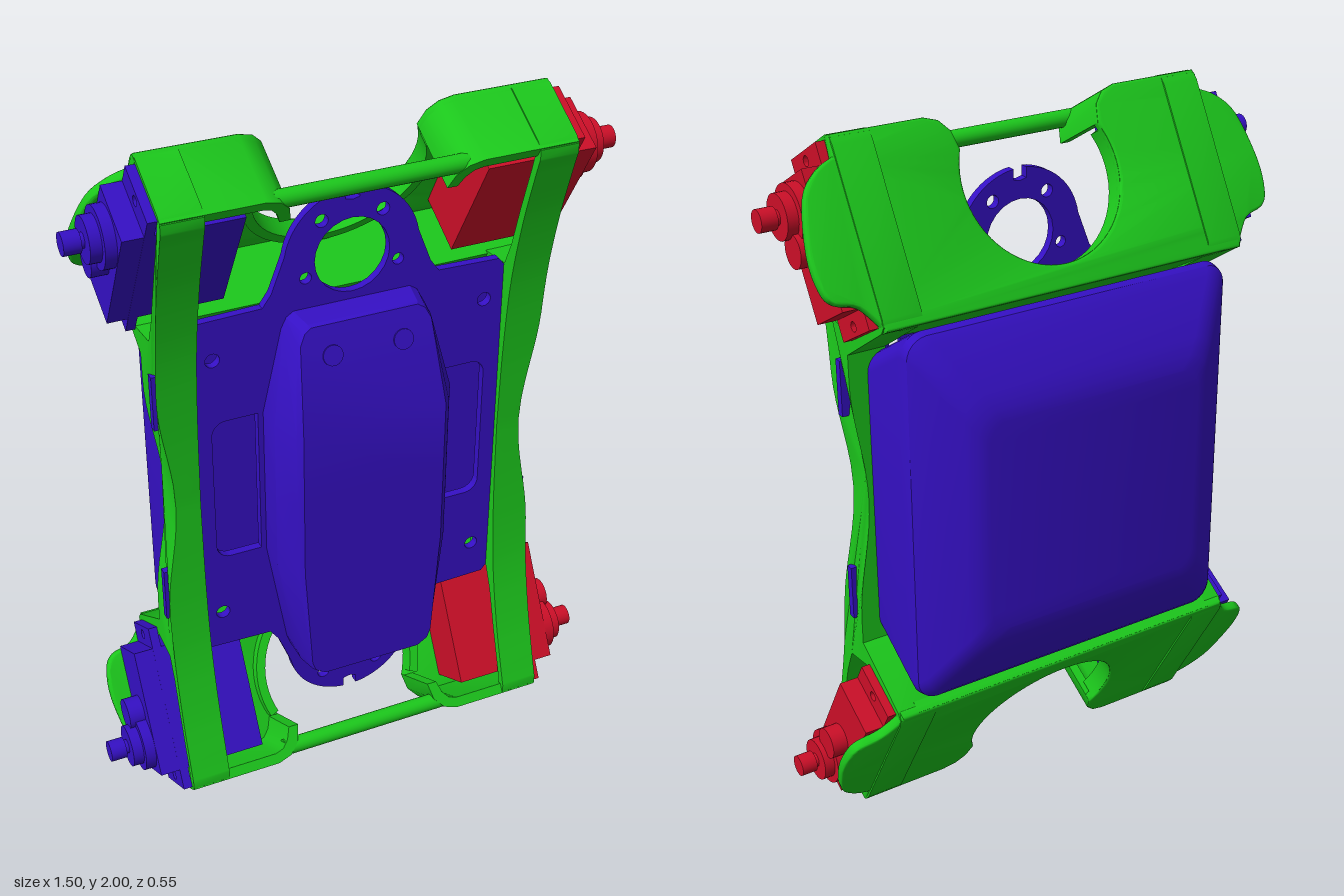
import * as THREE from 'three';
import { toCreasedNormals } from 'three/addons/utils/BufferGeometryUtils.js';

const paint = (color) => new THREE.MeshStandardMaterial({ color, side: THREE.DoubleSide });
const GREEN = paint(0x1cc81c), BLUE = paint(0x3510c4), RED = paint(0xcc0f28);
const V2 = (p) => new THREE.Vector2(p[0], p[1]);

function add(parent, name, geometry, material, x = 0, y = 0, z = 0) {
  const mesh = new THREE.Mesh(geometry, material);
  mesh.name = name;
  mesh.position.set(x, y, z);
  parent.add(mesh);
  return mesh;
}

const mirrorX = (half) => [...half, ...half.map(([x, y]) => [-x, y]).reverse()];
const spline = (pts, n) => new THREE.SplineCurve(pts.map(V2)).getPoints(n).map((p) => [p.x, p.y]);

function arc(cx, cy, r, from, to, n) {
  return Array.from({ length: n + 1 }, (_, i) => {
    const a = THREE.MathUtils.degToRad(from + ((to - from) * i) / n);
    return [cx + r * Math.cos(a), cy + r * Math.sin(a)];
  });
}

// Extruded outline from z0 to z1, with optional holes
function slab(outline, z0, z1, holes = [], bevel = 0) {
  const shape = new THREE.Shape(outline.map(V2));
  shape.holes = holes.map((h) => new THREE.Path(h.map(V2)));
  const geo = new THREE.ExtrudeGeometry(shape, {
    depth: z1 - z0 - 2 * bevel, bevelEnabled: bevel > 0, bevelSize: bevel,
    bevelThickness: bevel, bevelOffset: -bevel, bevelSegments: 3,
  });
  geo.translate(0, 0, z0 + bevel);
  return toCreasedNormals(geo, 0.6);
}

// Closed skin through left-right symmetric rings, going towards +z
function loft(rings) {
  const n = rings[0].length, pos = rings.flat(2), idx = [];
  const quad = (a, b, c, d) => idx.push(a, b, c, a, c, d);
  for (let s = 0; s < rings.length - 1; s++)
    for (let i = 0; i < n; i++) {
      const j = (i + 1) % n, a = s * n, b = a + n;
      quad(a + i, a + j, b + j, b + i);
    }
  const last = (rings.length - 1) * n;
  for (let i = 0; i < n / 2 - 1; i++) {
    quad(n - 1 - i, n - 2 - i, i + 1, i);
    quad(last + i, last + i + 1, last + n - 2 - i, last + n - 1 - i);
  }
  const geo = new THREE.BufferGeometry();
  geo.setAttribute('position', new THREE.Float32BufferAttribute(pos, 3));
  geo.setIndex(idx);
  return toCreasedNormals(geo, 0.5);
}

// Side rail: profile in z and y, waisted on its outer face
function railGeometry(side) {
  const half = [
    ...spline([[0.137, 0], [0.145, 0.25], [0.165, 0.47], [0.205, 0.66], [0.25, 0.81], [0.27, 0.87]], 28),
    [0.27, 0.895], [0.255, 0.912], [0.11, 0.997], [0.085, 0.996], [0.07, 0.98],
    [-0.148, 0.6], [-0.152, 0.58], [-0.14, 0.56], [0.05, 0.435],
  ];
  for (let y = 0.4; y > -0.01; y -= 0.04) half.push([0.05, Math.max(y, 0)]);
  const lower = half.slice(1, -1).map(([z, y]) => [z, -y]).reverse();
  const outline = [...half, ...lower].map(([z, y]) => [z, y + 1]);
  const bay = [[0.246, 0.879], [0.095, 0.966], [-0.127, 0.583], [0.02, 0.498], [0.125, 0.51],
    [0.155, 0.58], [0.19, 0.7], [0.232, 0.83]];
  const holes = [1, -1].map((s) => bay.map(([z, y]) => [z, 1 + s * y]));
  const geo = slab(outline, 0, 0.11, holes);
  geo.rotateY(-Math.PI / 2);
  geo.translate(side > 0 ? 0.555 : -0.445, 0, 0);
  const p = geo.attributes.position;
  for (let i = 0; i < p.count; i++) {
    const d = Math.min(Math.abs(p.getY(i) - 1) / 0.36, 1);
    if (Math.abs(p.getX(i)) > 0.5) p.setX(i, p.getX(i) - side * 0.02 * (1 + Math.cos(Math.PI * d)));
  }
  return toCreasedNormals(geo, 0.6);
}

// Servo with its shaft along +x
function servo(material) {
  const g = new THREE.Group();
  g.name = 'servo';
  const disc = (name, r, x0, x1, y) =>
    add(g, name, new THREE.CylinderGeometry(r, r, x1 - x0, 32), material, (x0 + x1) / 2, y, 0).rotation.z = Math.PI / 2;
  add(g, 'servoBody', new THREE.BoxGeometry(0.31, 0.36, 0.165), material, 0.48, 0, 0);
  const w = 0.083, h = 0.238;
  const flange = slab([[-w, -h], [w, -h], [w, h], [-w, h]], 0.555, 0.58,
    [arc(0, 0.212, 0.014, 0, 330, 11), arc(0, -0.212, 0.014, 0, 330, 11)]);
  flange.rotateY(Math.PI / 2);
  add(g, 'servoFlange', flange, material);
  disc('gearBoss', 0.08, 0.63, 0.665, 0.09);
  disc('gearBossStep', 0.06, 0.66, 0.695, 0.09);
  disc('idlerBoss', 0.045, 0.63, 0.68, 0.0);
  disc('shaftNeck', 0.02, 0.69, 0.71, 0.09);
  disc('outputShaft', 0.03, 0.705, 0.75, 0.09);
  return g;
}

// Tilted housing at one end, holding two servos
function endHousing(plusMaterial, minusMaterial) {
  const g = new THREE.Group();
  g.name = 'endHousing';
  const curl = [[0.211, 0.15], [0.222, 0.2], [0.25, 0.232], [0.29, 0.245]];
  const plate = mirrorX([
    ...arc(0, 0.045, 0.235, -88, 22, 20), ...curl, [0.556, 0.245],
    ...spline([[0.56, 0.19], [0.61, 0.165], [0.66, 0.105], [0.69, -0.03], [0.685, -0.12],
      [0.66, -0.16], [0.6, -0.18], [0.556, -0.235]], 28),
    [0.55, -0.255],
  ]);
  add(g, 'backPlate', slab(plate, -0.113, -0.083, [], 0.008), GREEN);
  add(g, 'notchLip', slab([...arc(0, 0.045, 0.235, -202, 22, 40), ...arc(0, 0.045, 0.262, 22, -202, 40)], -0.108, -0.05), GREEN);
  const cap = [...curl, [0.555, 0.245], [0.555, 0.215], [0.295, 0.215], [0.27, 0.207], [0.252, 0.185], [0.24, 0.15]];
  for (const s of [1, -1])
    add(g, 'endCap', slab(cap.map(([x, y]) => [s * x, y]), -0.108, 0.095), GREEN);
  add(g, 'innerWall', new THREE.BoxGeometry(1.0, 0.028, 0.2), GREEN, 0, -0.241, -0.008);
  add(g, 'crossBar', new THREE.CylinderGeometry(0.024, 0.024, 0.52, 24), GREEN, 0, 0.212, 0.07).rotation.z = Math.PI / 2;
  g.add(servo(plusMaterial));
  const other = servo(minusMaterial);
  other.rotation.y = Math.PI;
  g.add(other);
  g.position.set(0, 0.735, 0.065);
  g.rotation.x = Math.PI / 6;
  return g;
}

// Base plate with a ring-shaped tongue at both ends
function basePlateGeometry() {
  const quarter = [[0.45, 0], [0.45, 0.5], [0.43, 0.525], [0.25, 0.53], [0.225, 0.565],
    ...arc(0, 0.63, 0.19, 10, 84, 16), [0.02, 0.79], [0.001, 0.785]];
  const right = [...quarter.slice(1).map(([x, y]) => [x, -y]).reverse(), ...quarter];
  const outline = mirrorX(right).map(([x, y]) => [x, y + 1]);
  const circle = (x, y, r) => arc(x, y, r, 0, 345, 23);
  const holes = [];
  for (const s of [1, -1]) {
    holes.push(circle(0, 1 + s * 0.63, 0.105));
    for (const t of [1, -1]) {
      holes.push(circle(t * 0.085, 1 + s * 0.742, 0.018), circle(t * 0.13, 1 + s * 0.59, 0.016),
        circle(t * 0.39, 1 + s * 0.41, 0.02));
    }
    const window = [...arc(0.36, 0.82, 0.04, -90, 0, 6), ...arc(0.36, 1.18, 0.04, 0, 90, 6), [0.27, 1.22], [0.27, 0.78]];
    holes.push(window.map(([x, y]) => [s * x, y]));
  }
  return slab(outline, 0.098, 0.122, holes);
}

export function createModel() {
  const model = new THREE.Group();
  model.name = 'robotChassis';

  for (const s of [1, -1]) add(model, 'sideRail', railGeometry(s), GREEN);

  // Upper and lower ends: the lower is the upper turned half round
  for (const upper of [true, false]) {
    const end = new THREE.Group();
    end.name = upper ? 'upperEnd' : 'lowerEnd';
    end.position.y = 1;
    end.rotation.z = upper ? 0 : Math.PI;
    end.add(upper ? endHousing(RED, BLUE) : endHousing(BLUE, RED));
    model.add(end);
  }

  add(model, 'basePlate', basePlateGeometry(), BLUE);
  for (const s of [1, -1])
    for (const y of [0.7, 1.32])
      add(model, 'plateTab', new THREE.BoxGeometry(0.12, 0.16, 0.022), BLUE, s * 0.495, y, 0.11);

  // Back cover: rounded rectangles [z, half width, half height]
  const backRings = [[-0.275, 0.33, 0.31], [-0.268, 0.36, 0.345], [-0.25, 0.39, 0.385], [-0.175, 0.48, 0.515],
    [-0.155, 0.497, 0.535], [-0.13, 0.5, 0.54], [-0.11, 0.5, 0.53], [0.05, 0.5, 0.43]].map(([z, hx, hy]) => {
    const r = 0.06;
    const half = [...arc(hx - r, 1 - hy + r, r, -88, 0, 6), ...arc(hx - r, 1 + hy - r, r, 0, 88, 6)];
    return mirrorX(half).map(([x, y]) => [x, y, z]);
  });
  add(model, 'backCover', loft(backRings), BLUE);

  // Front cover: waisted box with a sloping upper face
  const front = [[0.16, 0.39], [0.19, 0.41], [0.2, 0.44], [0.255, 0.77], [0.255, 1.0], [0.255, 1.22], [0.2, 1.46], [0.185, 1.49], [0.165, 1.503]];
  const frontZ = (y) => 0.275 - 0.27 * Math.max(0, y - 1.22);
  const frontRing = (inset, depth) => mirrorX(front.map(([x, y]) => [x - inset * (x > 0.22 ? 1 : 0.3), 0.95 + (y - 0.95) * (1 - inset * 0.4)]))
    .map(([x, y]) => [x, y, depth === null ? 0.11 : frontZ(y) - depth]);
  add(model, 'frontCover', loft([frontRing(0, null), frontRing(0, 0.075), frontRing(0.035, 0.012), frontRing(0.05, 0)]), BLUE);
  for (const s of [1, -1])
    add(model, 'coverScrew', new THREE.CylinderGeometry(0.028, 0.028, 0.02, 24), BLUE, s * 0.1, 1.41, frontZ(1.41) - 0.006).rotation.x = Math.PI / 2 - 0.26;

  return model;
}
